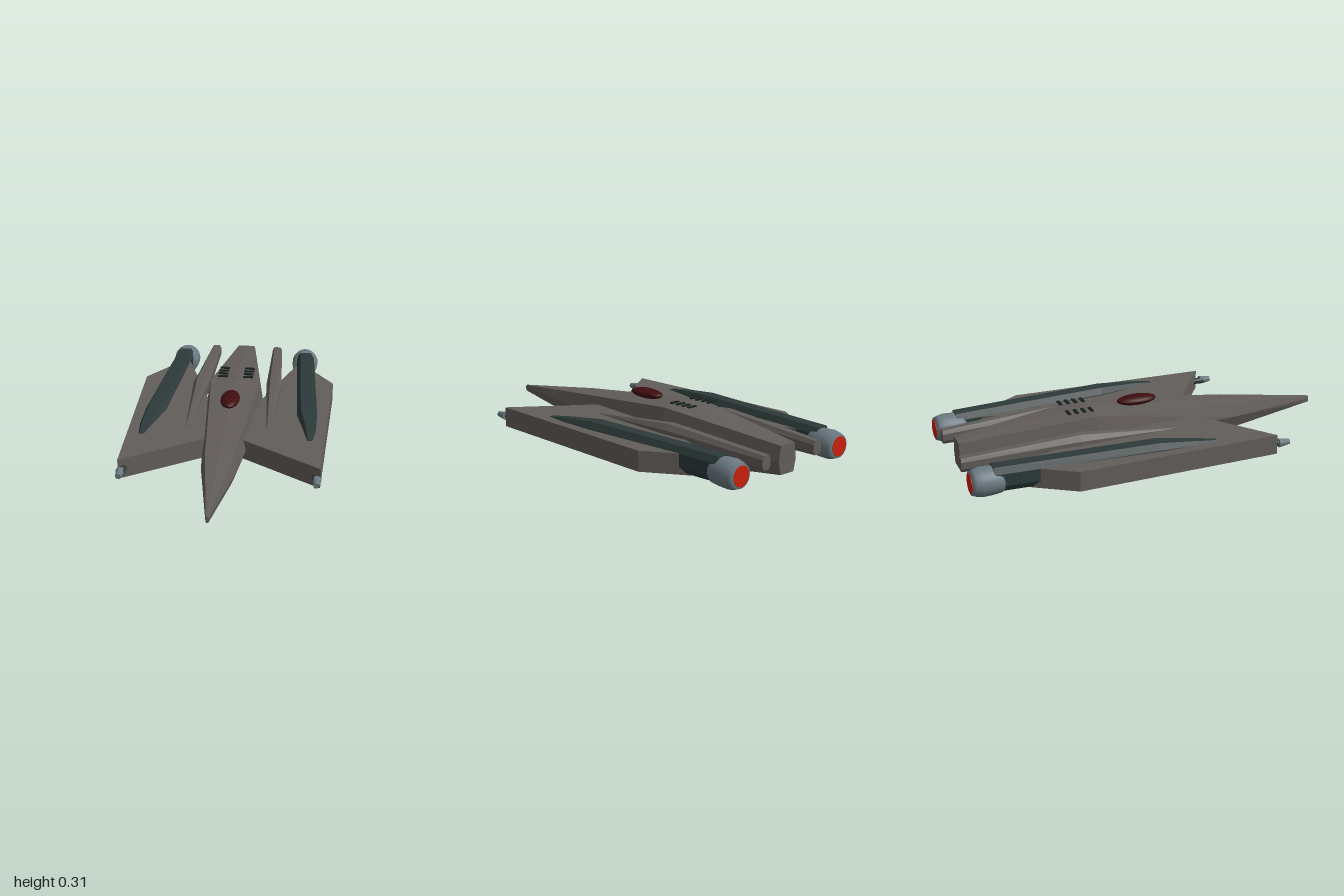
import * as THREE from 'three';

const mat = (name, color, flatShading = true) => {
  const m = new THREE.MeshStandardMaterial({ color, flatShading });
  m.name = name;
  return m;
};

// Closed skin over rings listed front to back, each counter-clockwise seen from +z
function loft(rings) {
  const pos = [];
  const tri = (a, b, c) => pos.push(...a, ...b, ...c);
  const n = rings[0].length;
  for (let i = 0; i < rings.length - 1; i++) {
    for (let j = 0; j < n; j++) {
      const k = (j + 1) % n;
      const [a, b, c, d] = [rings[i][j], rings[i][k], rings[i + 1][j], rings[i + 1][k]];
      tri(a, c, b);
      tri(b, c, d);
    }
  }
  const front = rings[0], back = rings[rings.length - 1];
  for (let j = 1; j < n - 1; j++) {
    tri(front[0], front[j], front[j + 1]);
    tri(back[0], back[j + 1], back[j]);
  }
  const g = new THREE.BufferGeometry();
  g.setAttribute('position', new THREE.Float32BufferAttribute(pos, 3));
  g.computeVertexNormals();
  return g;
}

// Eight-sided bevelled ring: bevel is the flat share of the width on top
function bevelRing(z, cx, hw, y0, y1, flat = 0.62) {
  const h = y1 - y0, f = hw * flat, lo = y0 + h * 0.25, hi = y1 - h * 0.25;
  return [[f, y0], [hw, lo], [hw, hi], [f, y1], [-f, y1], [-hw, hi], [-hw, lo], [-f, y0]]
    .map(([x, y]) => [cx + x, y, z]);
}

export function createModel() {
  const model = new THREE.Group();
  model.name = 'spacecraft';
  const grey = mat('hull grey', 0x625d5a);
  const teal = mat('dark teal', 0x2c3a39);
  const steel = mat('blue steel', 0x6a7981, false);
  const canopyRed = mat('canopy dark red', 0x400d0f, false);
  const glow = mat('exhaust red', 0xc8200a);
  const black = mat('vent black', 0x18211f);

  const add = (name, geometry, material, parent = model) => {
    const m = new THREE.Mesh(geometry, material);
    m.name = name;
    parent.add(m);
    return m;
  };

  // Hull: z, top y, top half width, middle half width, bottom y, bottom half width
  const hull = [
    [1, 0.147, 0.005, 0.008, 0.115, 0.005],
    [0.5, 0.205, 0.07, 0.09, 0.06, 0.06],
    [-0.28, 0.278, 0.13, 0.156, 0, 0.11],
    [-0.97, 0.212, 0.048, 0.06, 0.07, 0.045],
  ].map(([z, ty, tw, mw, by, bw]) => [
    [bw, by, z], [mw, 0.135, z], [tw, ty, z], [0, ty + tw * 0.06, z],
    [-tw, ty, z], [-mw, 0.135, z], [-bw, by, z],
  ]);
  add('hull', loft(hull), grey);

  // Canopy blister
  const canopy = add('canopy', new THREE.SphereGeometry(1, 28, 16), canopyRed);
  canopy.scale.set(0.049, 0.025, 0.106);
  canopy.position.set(0, 0.283, -0.015);

  for (const s of [1, -1]) {
    const side = new THREE.Group();
    side.name = s > 0 ? 'leftSide' : 'rightSide';
    model.add(side);

    // Wing slab, outline in x and z
    const outline = [[0.05, 0.235], [0.49, 0.55], [0.52, -0.51], [0.322, -0.81], [0.05, 0.05]];
    const shape = new THREE.Shape(outline.map(([x, z]) => new THREE.Vector2(s * x, -z)));
    const wing = new THREE.ExtrudeGeometry(shape, { depth: 0.102, bevelEnabled: false });
    wing.rotateX(-Math.PI / 2).translate(0, 0.083, 0);
    add('wing', wing, grey, side);

    // Strake lying between hull and engine
    add('strake', loft([
      bevelRing(0.12, s * 0.207, 0.008, 0.165, 0.187),
      bevelRing(-0.4, s * 0.2, 0.041, 0.12, 0.235, 0.5),
      bevelRing(-1, s * 0.18, 0.027, 0.13, 0.2),
    ]), grey, side);

    // Engine pod
    add('enginePod', loft([
      bevelRing(0.24, s * 0.425, 0.016, 0.165, 0.188),
      bevelRing(0.13, s * 0.42, 0.031, 0.13, 0.203),
      bevelRing(-0.07, s * 0.397, 0.053, 0.095, 0.221),
      bevelRing(-0.89, s * 0.35, 0.05, 0.088, 0.213),
    ]), teal, side);

    // Nozzle: profile of radius against distance back
    const profile = [[0, 0], [0.055, 0], [0.066, 0.015], [0.071, 0.06], [0.073, 0.11], [0.066, 0.14], [0.058, 0.16], [0, 0.16]];
    const nozzle = new THREE.LatheGeometry(profile.map(([r, y]) => new THREE.Vector2(r, y)), 28);
    nozzle.rotateX(-Math.PI / 2).translate(s * 0.347, 0.137, -0.838);
    add('nozzle', nozzle, steel, side);
    const exhaust = new THREE.CylinderGeometry(0.05, 0.05, 0.004, 28);
    exhaust.rotateX(Math.PI / 2).translate(s * 0.347, 0.137, -0.999);
    add('exhaust', exhaust, glow, side);

    // Wingtip gun: dark stem and tapered muzzle
    const stem = new THREE.CylinderGeometry(0.017, 0.017, 0.1, 10);
    stem.rotateX(Math.PI / 2).translate(s * 0.467, 0.133, 0.53);
    add('gunStem', stem, teal, side);
    const muzzle = new THREE.CylinderGeometry(0.014, 0.023, 0.06, 12);
    muzzle.rotateX(Math.PI / 2).translate(s * 0.474, 0.133, 0.595);
    add('gunMuzzle', muzzle, steel, side);

    // Row of vents on the back
    for (let i = 0; i < 4; i++) {
      const vent = add('vent', new THREE.BoxGeometry(0.052, 0.006, 0.016), black, side);
      vent.position.set(s * 0.068, 0.296, -0.29 - i * 0.04);
    }
  }
  return model;
}
